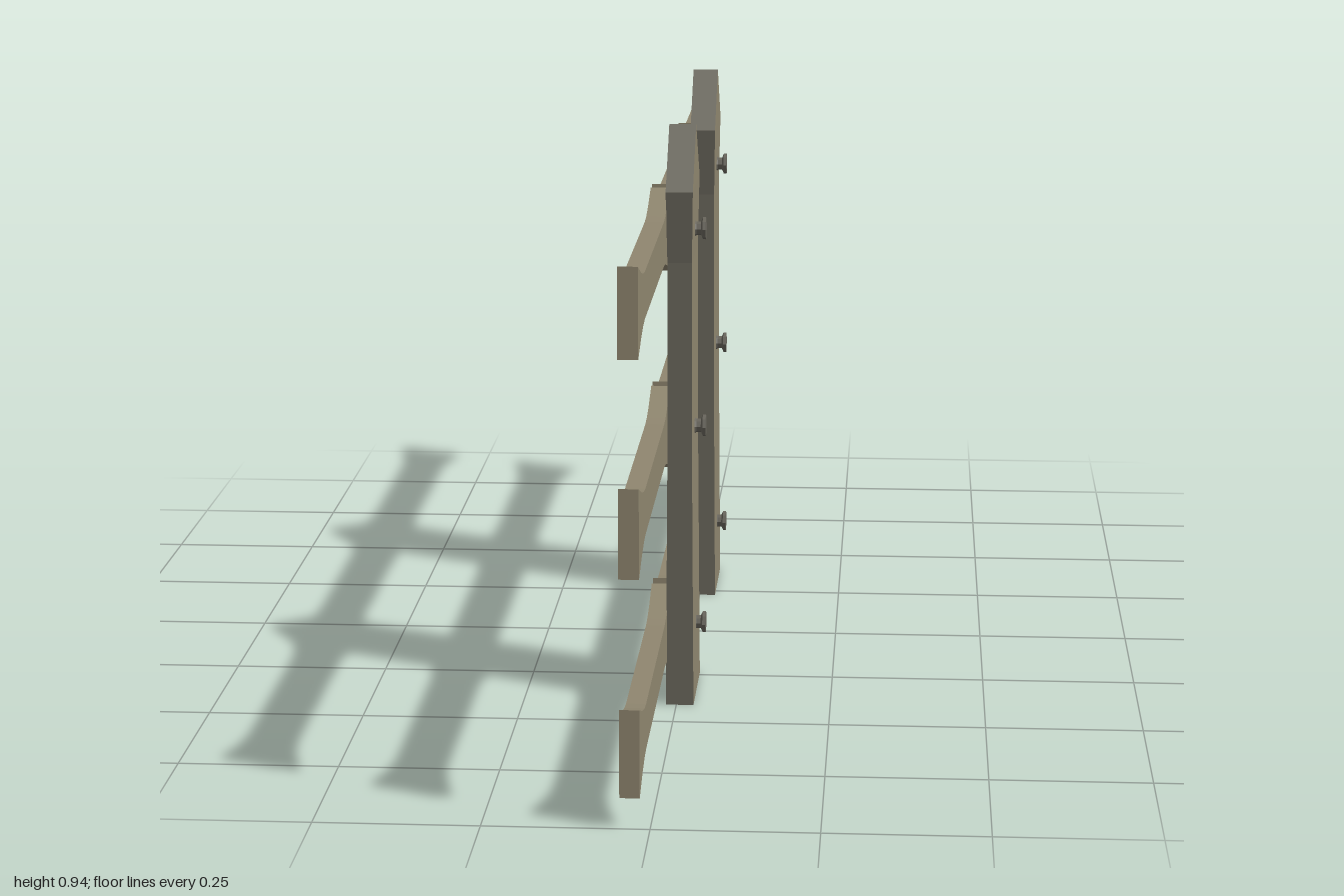
import * as THREE from 'three';

const wood = new THREE.MeshStandardMaterial({ name: 'wood', color: 0x8f866f, flatShading: true, side: THREE.DoubleSide });
const greyWood = new THREE.MeshStandardMaterial({ name: 'weatheredEdge', color: 0x6a675c, flatShading: true, side: THREE.DoubleSide });
const iron = new THREE.MeshStandardMaterial({ name: 'iron', color: 0x67645b, flatShading: true });

const mesh = (name, geometry, material) => {
  const m = new THREE.Mesh(geometry, material);
  m.name = name;
  return m;
};

// Rail plank between two z positions, flaring at both ends
function railGeometry(z0, z1) {
  const flare = [[0, 0.0675], [0.06, 0.047], [0.1, 0.038], [0.13, 0.035]];
  const top = [
    ...flare.map(([d, h]) => [z0 + d, h]),
    ...flare.map(([d, h]) => [z1 - d, h]).reverse(),
  ];
  const outline = [...top, ...top.map(([z, h]) => [z, -h]).reverse()];
  const shape = new THREE.Shape(outline.map(([z, y]) => new THREE.Vector2(z, y)));
  return new THREE.ExtrudeGeometry(shape, { depth: 0.03, bevelEnabled: false })
    .rotateY(-Math.PI / 2)
    .translate(-0.015, 0, 0);
}

// Picket outline from one foot over the point to the other foot: z, y, front x, back x
const half = [
  [0.088, 0, 0.028, -0.017],
  [0.082, 0.45, 0.025, -0.014],
  [0.079, 0.73, 0.025, -0.014],
  [0.09, 0.845, 0.027, -0.016],
];
const outline = [
  ...half,
  [0, 0.94, 0.027, -0.016],
  ...half.map(([z, y, f, b]) => [-z, y, f, b]).reverse(),
];

function fromTriangles(positions) {
  const g = new THREE.BufferGeometry();
  g.setAttribute('position', new THREE.Float32BufferAttribute(positions, 3));
  g.computeVertexNormals();
  return g;
}

// Front board, built as strips between mirrored outline points
function picketFront() {
  const p = [];
  const last = outline.length - 1;
  for (let i = 0; i < 4; i++) {
    const [a, b, c, d] = [i, i + 1, last - i - 1, last - i].map((k) => {
      const [z, y, f] = outline[k];
      return [f, y, z];
    });
    p.push(...a, ...d, ...b);
    if (i < 3) p.push(...b, ...d, ...c);
  }
  return fromTriangles(p);
}

// Side and roof edges; the back and the foot stay open
function picketEdges() {
  const p = [];
  for (let i = 0; i < outline.length - 1; i++) {
    const [z0, y0, f0, b0] = outline[i];
    const [z1, y1, f1, b1] = outline[i + 1];
    p.push(f0, y0, z0, f1, y1, z1, b0, y0, z0);
    p.push(b0, y0, z0, f1, y1, z1, b1, y1, z1);
  }
  return fromTriangles(p);
}

// Bolt: thin shank and flared head, pointing along +x
function boltGeometry() {
  const profile = [[0.014, 0.024], [0.011, 0.028], [0.011, 0.035], [0.018, 0.038], [0.018, 0.043], [0, 0.043]];
  return new THREE.LatheGeometry(profile.map(([r, h]) => new THREE.Vector2(r, h)), 8)
    .rotateZ(-Math.PI / 2);
}

export function createModel() {
  const model = new THREE.Group();
  model.name = 'fence';
  const railHeights = [0.115, 0.447, 0.772];
  const picketZ = [0.325, -0.312];

  // Three rows of rails, each in three pieces meeting behind the pickets
  const spans = [[-1, -0.345], [-0.315, 0.305], [0.337, 1]];
  for (const y of railHeights) {
    for (const [z0, z1] of spans) {
      const rail = mesh('rail', railGeometry(z0, z1), wood);
      rail.position.y = y;
      model.add(rail);
    }
  }

  // Pickets with a bolt at every rail
  const bolt = boltGeometry();
  for (const z of picketZ) {
    const picket = new THREE.Group();
    picket.name = 'picket';
    picket.position.z = z;
    picket.add(mesh('picketFront', picketFront(), wood), mesh('picketEdges', picketEdges(), greyWood));
    for (const y of railHeights) {
      const b = mesh('bolt', bolt, iron);
      b.position.y = y;
      picket.add(b);
    }
    model.add(picket);
  }
  return model;
}
